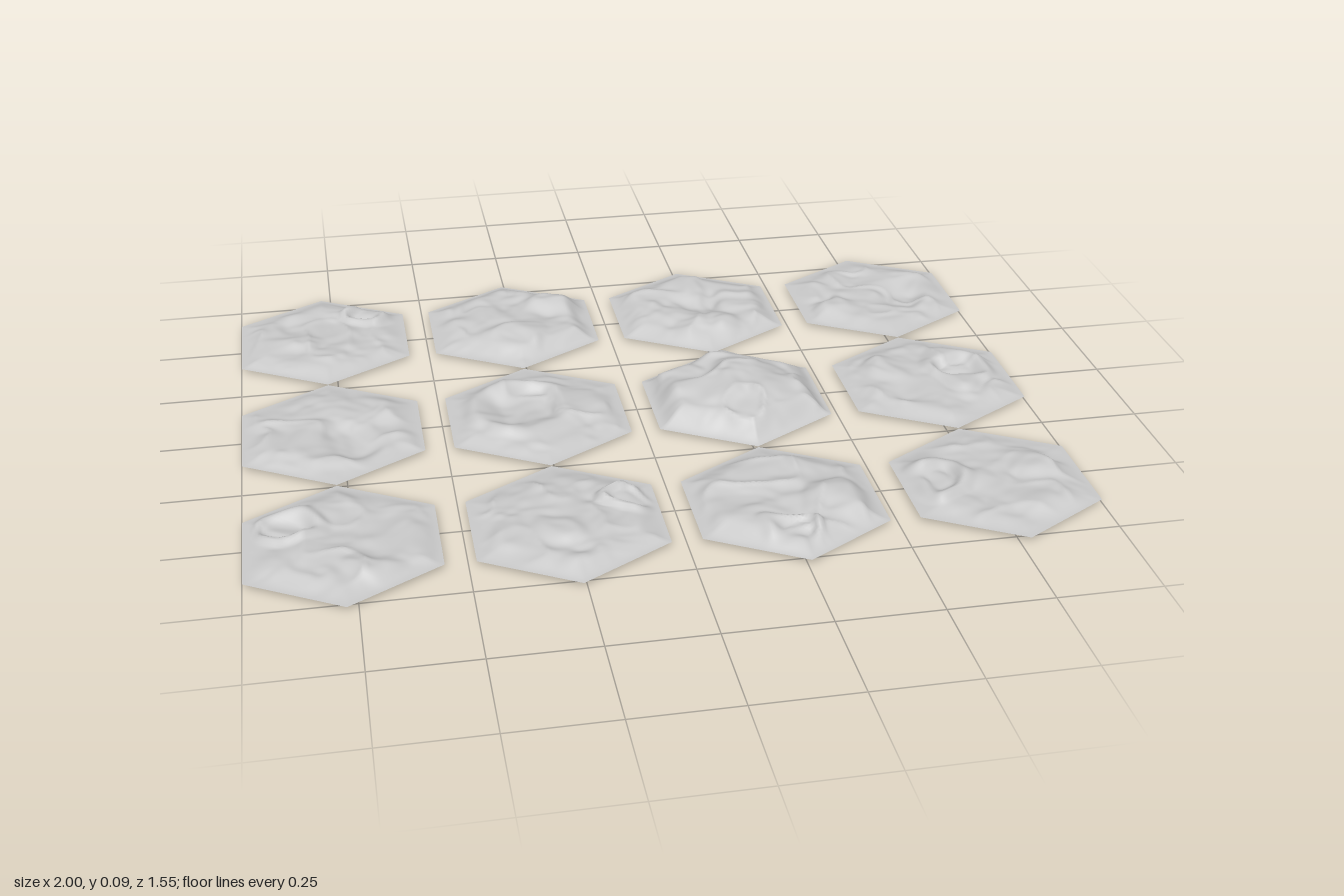
import * as THREE from 'three';

const R = 0.257;          // tile corner radius
const STEP = 0.5173;      // spacing of tiles
const RINGS = 32;         // rings of triangles per tile
const EDGE_Y = 0.013;     // height of every tile border

const { lerp } = THREE.MathUtils;
const smooth = (a, b, v) => THREE.MathUtils.smoothstep(v, a, b);

// Seeded value noise in -1..1
const hash = (i, j, s) => {
  const v = Math.sin(i * 127.1 + j * 311.7 + s * 74.7) * 43758.5453;
  return (v - Math.floor(v)) * 2 - 1;
};
function noise(x, z, s) {
  const i = Math.floor(x), j = Math.floor(z);
  const u = smooth(0, 1, x - i), v = smooth(0, 1, z - j);
  return lerp(lerp(hash(i, j, s), hash(i + 1, j, s), u),
    lerp(hash(i, j + 1, s), hash(i + 1, j + 1, s), u), v);
}

// Landforms, placed relative to the tile centre
const hill = (cx, cz, r) => (x, z) =>
  0.16 * r * (1 - smooth(r * 0.35, r, Math.hypot(x - cx, z - cz)));
const basin = (cx, cz, r) => (x, z) => -hill(cx, cz, r)(x, z);
const crater = (cx, cz, r) => (x, z) => {
  const d = Math.hypot(x - cx, z - cz);
  return 0.014 * (1 - smooth(0, r * 0.45, Math.abs(d - r))) - 0.006 * (1 - smooth(r * 0.5, r, d));
};

// Tiles row by row from the back: general level and main landforms
const COLUMNS = 4;
const TILES = [
  { name: 'ridgeTile', level: 0.015, forms: [crater(0.12, -0.12, 0.06), hill(-0.07, 0.04, 0.08)] },
  { name: 'canyonTile', level: 0.021, forms: [hill(0.14, -0.07, 0.1), hill(0, 0.13, 0.1)] },
  { name: 'cragTile', level: 0.025, forms: [hill(0.01, 0.13, 0.1), basin(0.02, -0.04, 0.1)] },
  { name: 'slopeTile', level: 0.012, forms: [hill(-0.12, 0.07, 0.08), basin(0.08, 0.02, 0.1)] },
  { name: 'lakeTile', level: 0.013, forms: [basin(0.02, 0.07, 0.11)] },
  { name: 'moundTile', level: 0.014, forms: [crater(-0.03, -0.02, 0.12)] },
  { name: 'mesaTile', level: 0.047, forms: [hill(0.02, 0, 0.15)] },
  { name: 'craterTile', level: 0.012, forms: [crater(0.1, -0.03, 0.08), hill(-0.1, -0.05, 0.08)] },
  { name: 'plainTile', level: 0.013, forms: [crater(-0.12, -0.07, 0.06), hill(0.08, 0.13, 0.08)] },
  { name: 'knollTile', level: 0.014, forms: [crater(0.16, -0.04, 0.05), hill(-0.02, 0.05, 0.07)] },
  { name: 'volcanoTile', level: 0.021, forms: [crater(-0.02, 0.16, 0.06), hill(0.1, 0.04, 0.1)] },
  { name: 'dunesTile', level: 0.012, forms: [crater(-0.14, -0.01, 0.07), hill(0.12, -0.02, 0.08)] },
];

// Terrain rule: warped noise, sharp crests and landforms, fading out at the border
function terrainHeight(tile, seed, x, z, d) {
  const wx = x + 0.03 * noise(x * 12, z * 12, seed + 20);
  const wz = z + 0.03 * noise(x * 12, z * 12, seed + 40);
  const rough = 0.006 + 0.18 * Math.min(tile.level, 0.025);
  const crest = Math.pow(1 - Math.abs(noise(wx * 9, wz * 9, seed + 80)), 4) - 0.3;
  let h = tile.level + rough * (0.8 * noise(wx * 14, wz * 14, seed)
    + 0.3 * noise(wx * 32, wz * 32, seed + 60) + 0.8 * crest);
  for (const form of tile.forms) h += form(wx, wz);
  return Math.max(0, EDGE_Y + h * smooth(0, 0.32, 1 - d));
}

// Hexagonal grid of concentric rings, displaced by the terrain rule
function tileGeometry(tile, seed) {
  const corner = (k) => [R * Math.sin(k * Math.PI / 3), R * Math.cos(k * Math.PI / 3)];
  const pos = [0, terrainHeight(tile, seed, 0, 0, 0), 0], index = [];
  const id = (ring, side, i) => ring === 0 ? 0
    : 1 + 3 * ring * (ring - 1) + (side * ring + i) % (6 * ring);
  for (let ring = 1; ring <= RINGS; ring++) {
    const d = ring / RINGS;
    for (let side = 0; side < 6; side++) {
      const a = corner(side), b = corner(side + 1);
      for (let i = 0; i < ring; i++) {
        const x = d * lerp(a[0], b[0], i / ring), z = d * lerp(a[1], b[1], i / ring);
        pos.push(x, terrainHeight(tile, seed, x, z, d), z);
        index.push(id(ring - 1, side, i), id(ring, side, i), id(ring, side, i + 1));
        if (i < ring - 1) {
          index.push(id(ring - 1, side, i), id(ring, side, i + 1), id(ring - 1, side, i + 1));
        }
      }
    }
  }
  const geo = new THREE.BufferGeometry();
  geo.setAttribute('position', new THREE.Float32BufferAttribute(pos, 3));
  geo.setIndex(index);
  geo.computeVertexNormals();
  return geo;
}

export function createModel() {
  const group = new THREE.Group();
  group.name = 'hexTerrainTiles';
  const material = new THREE.MeshStandardMaterial({ color: 0xcccccc, side: THREE.DoubleSide });
  TILES.forEach((tile, n) => {
    const mesh = new THREE.Mesh(tileGeometry(tile, n + 1), material);
    mesh.name = tile.name;
    mesh.position.set((n % COLUMNS - 1.5) * STEP, 0, (Math.floor(n / COLUMNS) - 1) * STEP);
    group.add(mesh);
  });
  return group;
}
